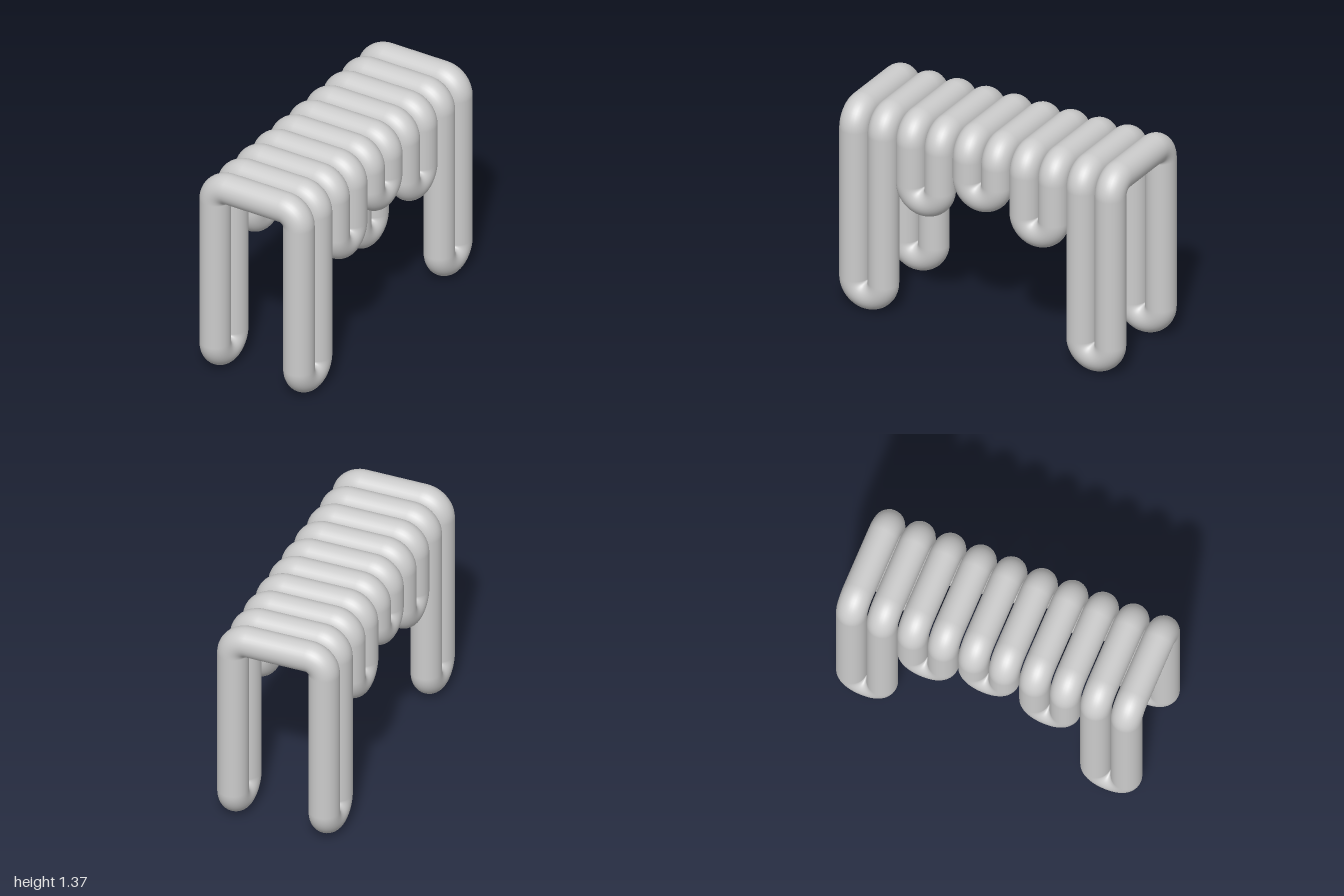
import * as THREE from 'three';

const R = 0.094;      // tube radius
const PITCH = 0.1955; // spacing of neighbouring arches
const HALF = 0.293;   // half the distance between left and right legs
const TOP = 1.276;    // height of the top bars' centreline
const CORNER = 0.1;   // bend radius of the top corners
const SIDES = 32;

export function createModel() {
  const model = new THREE.Group();
  model.name = 'tubeBench';
  const material = new THREE.MeshStandardMaterial({ color: 0xcccccc });

  const add = (parent, name, geometry, x, y, z, rx = 0, ry = 0, rz = 0) => {
    const mesh = new THREE.Mesh(geometry, material);
    mesh.name = name;
    mesh.position.set(x, y, z);
    mesh.rotation.set(rx, ry, rz);
    parent.add(mesh);
  };
  const pipe = (length) => new THREE.CylinderGeometry(R, R, length, SIDES, 1, true);

  const barGeometry = pipe(2 * (HALF - CORNER));
  const cornerGeometry = new THREE.TorusGeometry(CORNER, R, SIDES, 14, Math.PI / 2);
  const bendGeometry = new THREE.TorusGeometry(PITCH / 2, R, SIDES, 28, Math.PI);

  // Each loop is a pair of arches joined by a U-bend under each side
  [0, 0.723, 0.856, 0.723, 0].forEach((bottom, i) => {
    const loop = new THREE.Group();
    loop.name = bottom === 0 ? 'legLoop' : 'seatLoop';
    loop.position.z = (i - 2) * 2 * PITCH;
    model.add(loop);

    const bendY = bottom + R + PITCH / 2;
    const legTop = TOP - CORNER;
    const legGeometry = pipe(legTop - bendY);

    for (const z of [-PITCH / 2, PITCH / 2]) {
      add(loop, 'seatBar', barGeometry, 0, TOP, z, 0, 0, Math.PI / 2);
      for (const s of [-1, 1]) {
        add(loop, 'topCorner', cornerGeometry, s * (HALF - CORNER), legTop, z,
          0, 0, s > 0 ? 0 : Math.PI / 2);
        add(loop, 'leg', legGeometry, s * HALF, (legTop + bendY) / 2, z);
      }
    }
    for (const s of [-1, 1]) {
      add(loop, 'bottomBend', bendGeometry, s * HALF, bendY, 0, 0, Math.PI / 2, Math.PI);
    }
  });

  // The bench stands at a slight angle
  model.rotation.y = 0.077;
  return model;
}
